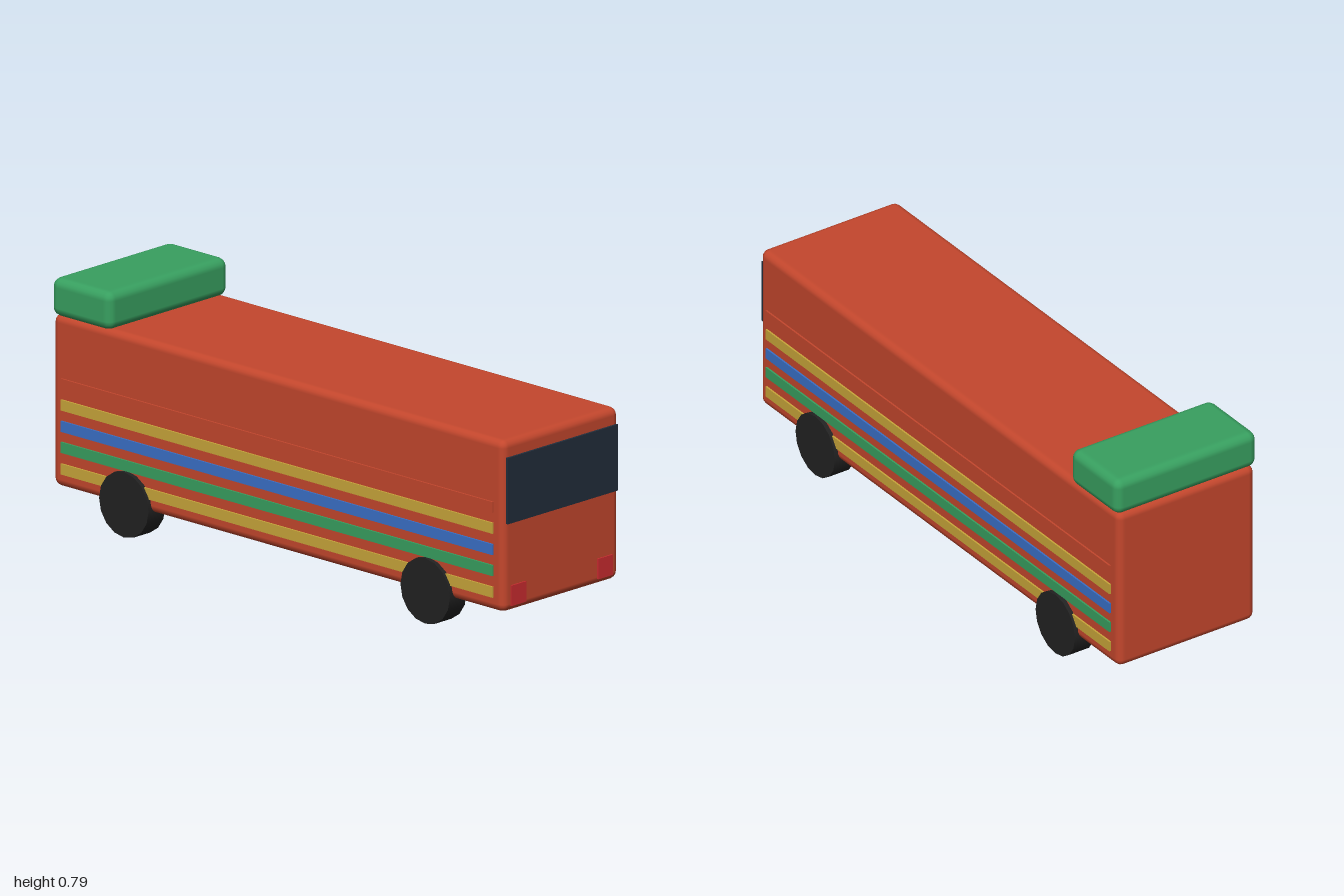
import * as THREE from 'three';
import { RoundedBoxGeometry } from 'three/addons/geometries/RoundedBoxGeometry.js';

function paint(name, color) {
  const m = new THREE.MeshStandardMaterial({ color });
  m.name = name;
  return m;
}

export function createModel() {
  const red = paint('body red', 0xc4472d);
  const green = paint('green', 0x38a060);
  const yellow = paint('yellow', 0xc9a63a);
  const blue = paint('blue', 0x3a70c8);
  const glass = paint('dark glass', 0x222d3b);
  const lampRed = paint('lamp red', 0xcc2c30);
  const rubber = paint('rubber', 0x222222);

  const bus = new THREE.Group();
  bus.name = 'bus';

  // Adds a mesh spanning the given ranges on each axis, rounded if radius > 0
  function box(name, mat, [x0, x1], [y0, y1], [z0, z1], radius = 0) {
    const size = [x1 - x0, y1 - y0, z1 - z0];
    const geo = radius
      ? new RoundedBoxGeometry(...size, 2, radius)
      : new THREE.BoxGeometry(...size);
    const mesh = new THREE.Mesh(geo, mat);
    mesh.name = name;
    mesh.position.set((x0 + x1) / 2, (y0 + y1) / 2, (z0 + z1) / 2);
    bus.add(mesh);
    return mesh;
  }

  // Body and roof unit
  box('body', red, [-0.266, 0.266], [0.1, 0.672], [-0.998, 0.992], 0.026);
  box('roofUnit', green, [-0.275, 0.275], [0.666, 0.794], [-1, -0.737], 0.03);

  // Windscreen
  box('windscreen', glass, [-0.253, 0.253], [0.397, 0.617], [0.991, 1]);

  const stripes = [
    [red, 0.447], [yellow, 0.377], [blue, 0.306], [green, 0.236], [yellow, 0.164],
  ];
  const wheelGeo = new THREE.CylinderGeometry(0.109, 0.109, 0.077, 16).rotateZ(Math.PI / 2);

  for (const side of [-1, 1]) {
    const word = side > 0 ? 'left' : 'right';
    const span = (a, b) => (side > 0 ? [a, b] : [-b, -a]);

    // Raised stripes along the flank
    stripes.forEach(([mat, y], i) =>
      box(`${word}Stripe${i + 1}`, mat, span(0.264, 0.272), [y - 0.018, y + 0.018], [-0.955, 0.95]));

    // Lamp
    box(`${word}Lamp`, lampRed, span(0.165, 0.232), [0.12, 0.188], [0.988, 0.997]);

    // Wheels
    for (const [end, z] of [['front', 0.662], ['rear', -0.668]]) {
      const wheel = new THREE.Mesh(wheelGeo, rubber);
      wheel.name = `${end}${side > 0 ? 'Left' : 'Right'}Wheel`;
      wheel.position.set(side * 0.2425, 0.109, z);
      bus.add(wheel);
    }
  }
  return bus;
}
